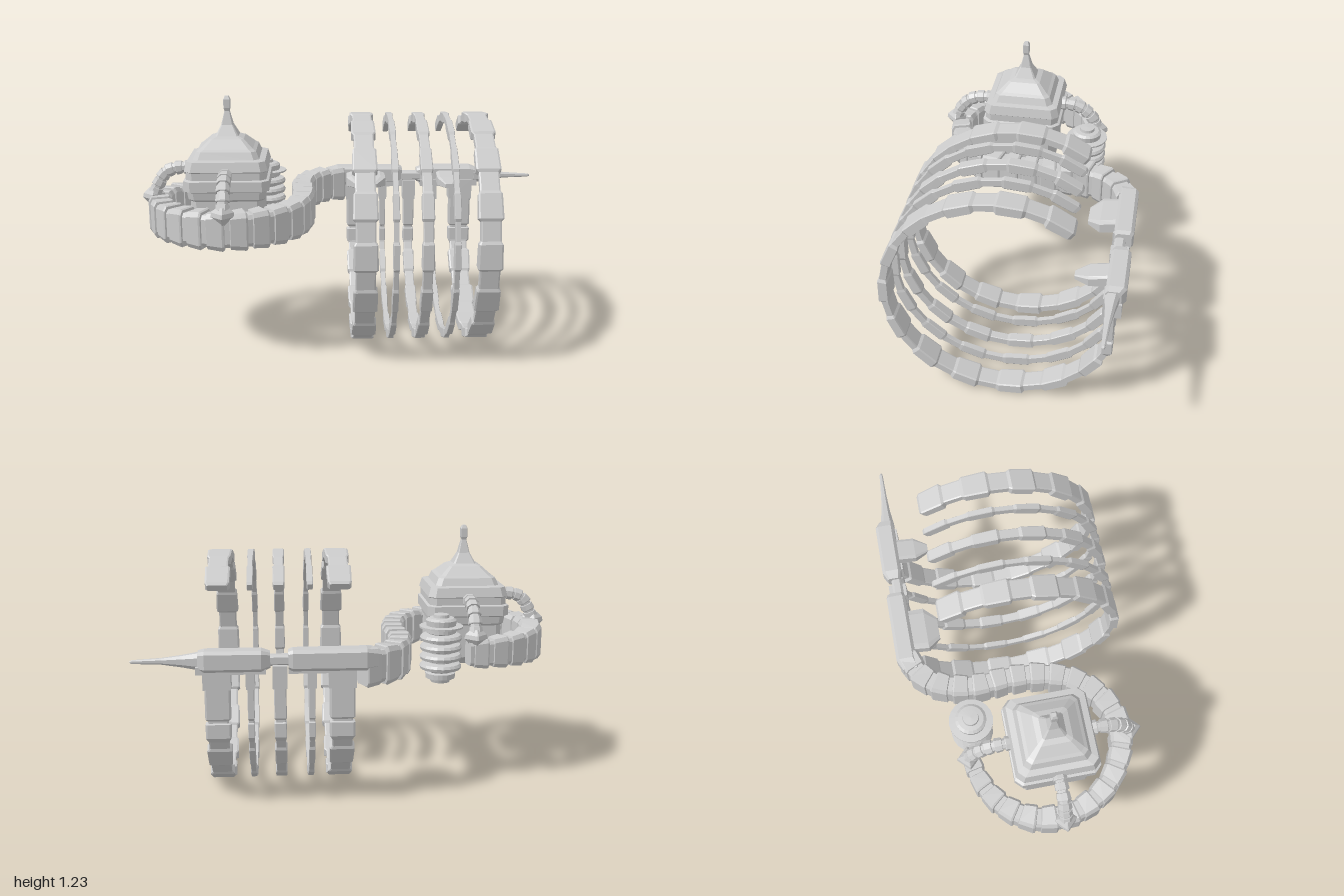
import * as THREE from 'three';

const V = (x, y, z) => new THREE.Vector3(x, y, z);
const material = new THREE.MeshStandardMaterial({ color: 0xcccccc, flatShading: true });

// Rectangle with cut corners, half size 1
const chamfer = (c) => [[1, 1 - c], [1 - c, 1], [c - 1, 1], [-1, 1 - c], [-1, c - 1], [c - 1, -1], [1 - c, -1], [1, c - 1]];

// Skin a list of equal-length loops and cap both ends, faces turned outward
function loft(name, loops) {
  const tris = [];
  const n = loops[0].length;
  for (let i = 0; i < loops.length - 1; i++) {
    for (let j = 0; j < n; j++) {
      const k = (j + 1) % n;
      const [a, b, c, d] = [loops[i][j], loops[i][k], loops[i + 1][k], loops[i + 1][j]];
      tris.push([a, b, c], [a, c, d]);
    }
  }
  const last = loops[loops.length - 1];
  for (let j = 1; j < n - 1; j++) {
    tris.push([loops[0][0], loops[0][j + 1], loops[0][j]], [last[0], last[j], last[j + 1]]);
  }
  let volume = 0;
  const cross = V(0, 0, 0);
  for (const [a, b, c] of tris) volume += a.dot(cross.crossVectors(b, c));
  const pos = [];
  for (const t of tris) for (const p of volume < 0 ? [t[0], t[2], t[1]] : t) pos.push(p.x, p.y, p.z);
  const g = new THREE.BufferGeometry();
  g.setAttribute('position', new THREE.Float32BufferAttribute(pos, 3));
  g.computeVertexNormals();
  const m = new THREE.Mesh(g, material);
  m.name = name;
  return m;
}

// Sweep along stations { p, t, w, h }: h lies along the fixed normal, w across it
function sweep(name, stations, normal, shape) {
  return loft(name, stations.map(({ p, t, w, h }) => {
    const side = V(0, 0, 0).crossVectors(t, normal).normalize();
    return shape.map(([a, b]) => p.clone().addScaledVector(side, a * w).addScaledVector(normal, b * h));
  }));
}

// Alternating narrow necks and flared segments along a curve
function segmented(name, curve, count, normal, w, h, neck, gap, shape, startScale = 1) {
  const st = [];
  const add = (u, s) => {
    const k = s * THREE.MathUtils.lerp(startScale, 1, Math.min(1, u * 5));
    st.push({ p: curve.getPointAt(u), t: curve.getTangentAt(u), w: w * k, h: h * k });
  };
  for (let i = 0; i < count; i++) {
    const at = (f) => Math.min(1, (i + f) / count);
    add(at(0), neck);
    add(at(gap), neck);
    add(at(gap + 0.03), 0.92);
    add(at(0.9), 1);
    add(at(0.98), 0.95);
  }
  return sweep(name, st, normal, shape);
}

// Stacked horizontal sections from [half width, y] pairs
const tower = (name, x, z, profile, c) => loft(name,
  profile.map(([r, y]) => chamfer(c).map(([a, b]) => V(x + a * r, y, z + b * r))));

// Sections across x from [x, y, z, half height, half depth]
const alongX = (name, rows, c) => loft(name,
  rows.map(([x, y, z, h, d]) => chamfer(c).map(([a, b]) => V(x, y + a * h, z + b * d))));

function box(name, x0, x1, y0, y1, z0, z1) {
  const m = new THREE.Mesh(new THREE.BoxGeometry(x1 - x0, y1 - y0, z1 - z0), material);
  m.position.set((x0 + x1) / 2, (y0 + y1) / 2, (z0 + z1) / 2);
  m.name = name;
  return m;
}

// Open hoop: a straight hanging part, then linked plates around the circle
function hoop(x, half) {
  const st = [];
  const add = (y, z, t, s) => st.push({ p: V(x, y, z), t, w: 0.025 * s, h: half * (s < 0.8 ? 0.8 : s) });
  const down = V(0, -1, 0);
  for (const [y, s] of [[0.68, 0.7], [0.6, 0.7], [0.59, 1], [0.44, 1], [0.43, 0.72], [0.42, 0.72], [0.415, 1], [0.35, 1]]) {
    add(y, -0.497, down, s);
  }
  const onCircle = (deg, s) => {
    const a = THREE.MathUtils.degToRad(deg);
    add(0.57 - 0.54 * Math.cos(a), 0.54 * Math.sin(a), V(0, Math.sin(a), Math.cos(a)), s);
  };
  onCircle(-64, 0.7);
  for (let k = -2; k <= 9; k++) {
    const mid = -4.5 + 23.8 * k;
    onCircle(mid - 7.5, 0.7);
    onCircle(mid - 6.2, 1);
    onCircle(mid + 5.5, 0.95);
    onCircle(mid + 7, 0.7);
  }
  return sweep('hoop', st, V(1, 0, 0), chamfer(0.14));
}

export function createModel() {
  const model = new THREE.Group();
  model.name = 'model';
  const HX = -0.585, HZ = 0.08;

  // Tail winding around the house and out to the rear arm
  const path = [[-0.55, -0.3], [-0.7, -0.265], [-0.83, -0.18], [-0.91, -0.05], [-0.92, 0.1], [-0.87, 0.24],
    [-0.77, 0.35], [-0.59, 0.425], [-0.42, 0.385], [-0.29, 0.26], [-0.235, 0.1], [-0.225, -0.06], [-0.235, -0.22],
    [-0.2, -0.37], [-0.13, -0.46], [-0.03, -0.51]];
  const tail = new THREE.CatmullRomCurve3(path.map(([x, z]) => V(x, 0.672, z)));
  model.add(segmented('tail', tail, 25, V(0, 1, 0), 0.056, 0.09, 0.82, 0.22, chamfer(0.25), 0.75));

  // House with stepped roof and finial
  model.add(tower('house', HX, HZ, [[0.05, 0.54], [0.125, 0.558], [0.14, 0.575], [0.17, 0.6], [0.17, 0.76],
    [0.18, 0.77], [0.185, 0.805], [0.2, 0.812], [0.2, 0.86], [0.188, 0.865], [0.188, 0.9], [0.195, 0.905],
    [0.183, 0.95], [0.155, 0.955], [0.14, 0.99], [0.125, 1.0], [0.08, 1.04], [0.055, 1.05], [0.028, 1.1],
    [0.012, 1.165], [0.016, 1.178], [0.016, 1.22], [0.009, 1.235]], 0.16));

  // Jointed legs from the house walls down onto the tail, each with a spearhead
  for (const [dx, dz, end] of [[-1, 0, 0.355], [0, 1, 0.37], [0, -1, 0.375]]) {
    const at = (r, y) => V(HX + dx * r, y, HZ + dz * r);
    const leg = new THREE.Group();
    leg.name = 'leg';
    const curve = new THREE.CatmullRomCurve3([at(0.17, 0.89), at(0.24, 0.89), at(0.3, 0.87),
      at(end - 0.02, 0.82), at(end + 0.005, 0.765)]);
    leg.add(segmented('legSegments', curve, 6, V(-dz, 0, dx), 0.032, 0.032, 0.75, 0.25, chamfer(0.55)));
    const spear = tower('spearhead', 0, 0, [[0.025, 0.79], [0.05, 0.765], [0.055, 0.745], [0.008, 0.695]], 0.95);
    spear.position.set(HX + dx * (end + 0.01), 0, HZ + dz * (end + 0.01));
    leg.add(spear);
    model.add(leg);
  }

  // Lantern of stacked discs beside the house
  const prof = [[0, 0.53], [0.045, 0.53], [0.05, 0.545], [0.07, 0.55], [0.072, 0.575], [0.055, 0.58]];
  for (let i = 0; i < 4; i++) {
    const y = 0.585 + i * 0.046;
    prof.push([0.06, y], [0.095, y + 0.01], [0.1, y + 0.024], [0.092, y + 0.036], [0.06, y + 0.042]);
  }
  prof.push([0.07, 0.77], [0.07, 0.792], [0.104, 0.794], [0.104, 0.802], [0.07, 0.804], [0.073, 0.83],
    [0.06, 0.84], [0.038, 0.842], [0.036, 0.856], [0, 0.858]);
  const lantern = new THREE.Mesh(new THREE.LatheGeometry(prof.map(([r, y]) => new THREE.Vector2(r, y)), 20), material);
  lantern.name = 'lantern';
  lantern.position.set(-0.425, 0, -0.265);
  model.add(lantern);

  // Rear arm: two casings, a coupling and a long tip
  model.add(alongX('frontCasing', [[-0.1, 0.71, -0.5, 0.04, 0.04], [-0.05, 0.715, -0.518, 0.05, 0.047],
    [0.28, 0.715, -0.52, 0.048, 0.046], [0.3, 0.715, -0.52, 0.04, 0.038]], 0.3));
  model.add(alongX('coupling', [[0.29, 0.71, -0.505, 0.025, 0.025], [0.4, 0.71, -0.505, 0.025, 0.025]], 0.4));
  model.add(alongX('rearCasing', [[0.38, 0.715, -0.515, 0.035, 0.03], [0.42, 0.715, -0.52, 0.048, 0.046],
    [0.67, 0.715, -0.52, 0.048, 0.046], [0.7, 0.712, -0.51, 0.042, 0.036]], 0.3));
  model.add(alongX('tip', [[0.69, 0.71, -0.505, 0.04, 0.034], [0.77, 0.71, -0.503, 0.026, 0.022],
    [0.86, 0.71, -0.5, 0.014, 0.014], [0.99, 0.708, -0.497, 0.008, 0.008], [1.0, 0.708, -0.497, 0.004, 0.004]], 0.5));

  // Forward claws on the casings: [x, y, z, half width, half height]
  const claw = (rows) => loft('claw', rows.map(([x, y, z, w, h]) =>
    chamfer(0.25).map(([a, b]) => V(x + a * w, y + b * h, z))));
  model.add(claw([[0.1, 0.71, -0.5, 0.1, 0.035], [0.1, 0.7, -0.4, 0.105, 0.03], [0.1, 0.69, -0.34, 0.055, 0.012]]));
  model.add(claw([[0.54, 0.71, -0.5, 0.055, 0.035], [0.54, 0.7, -0.39, 0.055, 0.025], [0.54, 0.69, -0.325, 0.02, 0.012]]));

  // Hoops and their hangers
  for (const [x, half] of [[0.0575, 0.0575], [0.195, 0.015], [0.338, 0.028], [0.47, 0.015], [0.618, 0.0575]]) {
    model.add(hoop(x, half));
    model.add(box('hanger', x - half - 0.005, x + half + 0.005, 0.585, 0.69, -0.55, -0.465));
  }
  model.add(box('hangerRail', 0.0, 0.3, 0.655, 0.69, -0.55, -0.475));
  model.add(box('hangerRail', 0.4, 0.71, 0.655, 0.69, -0.55, -0.475));
  return model;
}
